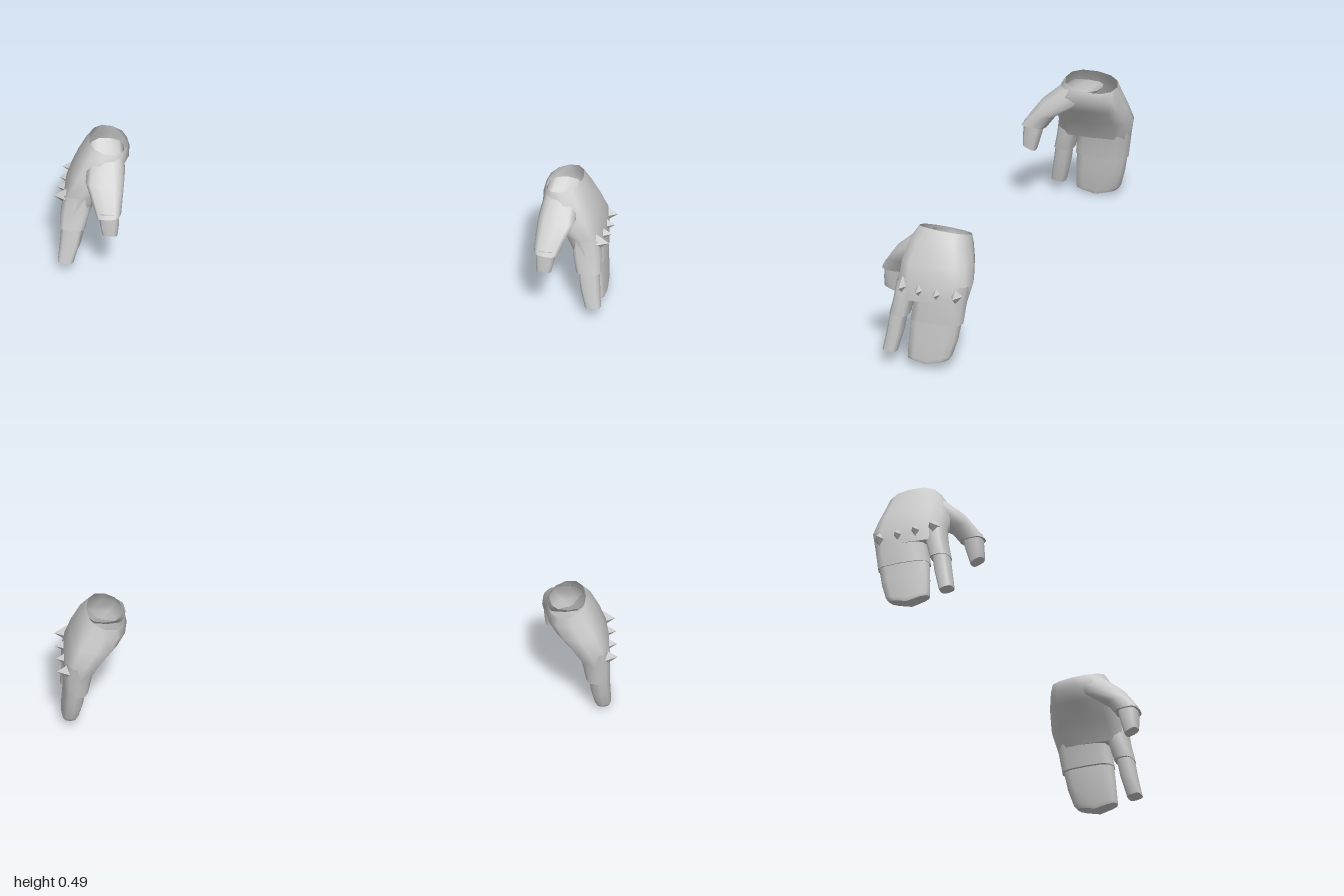
import * as THREE from 'three';

const SIDES = 12;

// One cross-section: height, x and z limits, slopes of y along x and z, roundness, sag in the middle
function ring({ y, x, z, sx = 0, sz = 0, p = 0.65, sag = 0 }, side) {
  const cx = (x[0] + x[1]) / 2, hx = (x[1] - x[0]) / 2;
  const cz = (z[0] + z[1]) / 2, hz = (z[1] - z[0]) / 2;
  const pow = v => Math.sign(v) * Math.abs(v) ** p;
  return Array.from({ length: SIDES }, (_, i) => {
    const a = (i / SIDES) * Math.PI * 2;
    const u = pow(Math.cos(a)), w = pow(Math.sin(a));
    return [side * (cx + u * hx), y + sx * u * hx + sz * w * hz - sag * (1 - Math.abs(w)), cz + w * hz];
  });
}

function makeMesh(name, points, faces, side, flat = false) {
  const geo = new THREE.BufferGeometry();
  geo.setAttribute('position', new THREE.Float32BufferAttribute(points.flat(), 3));
  // The mirrored hand needs its corners in reverse order
  geo.setIndex(faces.flatMap(([a, b, c]) => (side > 0 ? [a, b, c] : [a, c, b])));
  geo.computeVertexNormals();
  const mat = new THREE.MeshStandardMaterial({ color: 0xcccccc, side: THREE.DoubleSide, flatShading: flat });
  const mesh = new THREE.Mesh(geo, mat);
  mesh.name = name;
  return mesh;
}

// Smooth skin through sections from top to bottom, closed by a sharp-edged end
function loft(name, sections, side) {
  const rings = sections.map(s => ring(s, side));
  const points = rings.flat();
  const faces = [];
  for (let r = 0; r < rings.length - 1; r++) {
    for (let i = 0; i < SIDES; i++) {
      const a = r * SIDES + i, b = r * SIDES + (i + 1) % SIDES;
      faces.push([a, b, a + SIDES], [b, b + SIDES, a + SIDES]);
    }
  }
  const last = rings[rings.length - 1];
  const base = points.length;
  const centre = [0, 1, 2].map(k => last.reduce((t, v) => t + v[k], 0) / SIDES);
  points.push(...last, centre);
  for (let i = 0; i < SIDES; i++) faces.push([base + SIDES, base + i, base + (i + 1) % SIDES]);
  return makeMesh(name, points, faces, side);
}

// Four-sided diamond stud on the knuckles
function stud(y, z, side) {
  const b = 0.948, h = 0.034, w = 0.023;
  const points = [[b, y + h, z], [b, y, z + w], [b, y - h, z], [b, y, z - w], [0.994, y, z]]
    .map(([px, py, pz]) => [side * px, py, pz]);
  const faces = [[0, 4, 1], [1, 4, 2], [2, 4, 3], [3, 4, 0]].map(([a, c, d]) => [a, c, d]);
  // Corners run top, front, bottom, back, so the outward order is reversed
  return makeMesh('knuckleStud', points, faces.map(([a, c, d]) => [a, d, c]), side, true);
}

function createGlove(side) {
  const glove = new THREE.Group();
  glove.name = side > 0 ? 'leftGlove' : 'rightGlove';

  // Open wrist, back of the hand and palm
  glove.add(loft('hand', [
    { y: 0.474, x: [0.75, 0.885], z: [-0.158, 0.035], sx: 0.25, sz: 0.09, p: 0.9 },
    { y: 0.435, x: [0.742, 0.912], z: [-0.163, 0.062], sx: 0.15, sz: 0.05, p: 0.75 },
    { y: 0.375, x: [0.772, 0.943], z: [-0.177, 0.083] },
    { y: 0.312, x: [0.825, 0.966], z: [-0.19, 0.085] },
    { y: 0.246, x: [0.862, 0.969], z: [-0.174, 0.092] },
  ], side));

  // Thumb branch of the glove
  glove.add(loft('thumbSleeve', [
    { y: 0.455, x: [0.757, 0.885], z: [-0.1, 0.048], p: 0.8 },
    { y: 0.395, x: [0.742, 0.88], z: [-0.03, 0.119] },
    { y: 0.345, x: [0.739, 0.85], z: [0.06, 0.156] },
    { y: 0.3, x: [0.739, 0.826], z: [0.096, 0.184], sx: -0.1, sz: 0.08 },
  ], side));
  glove.add(loft('thumb', [
    { y: 0.32, x: [0.746, 0.82], z: [0.101, 0.175] },
    { y: 0.26, x: [0.746, 0.812], z: [0.117, 0.178] },
    { y: 0.22, x: [0.75, 0.802], z: [0.131, 0.178], sz: 0.42 },
  ], side));

  // Split lower edge of the glove
  glove.add(loft('indexSleeve', [
    { y: 0.31, x: [0.86, 0.958], z: [0.0, 0.084] },
    { y: 0.246, x: [0.864, 0.968], z: [0.023, 0.092] },
    { y: 0.182, x: [0.878, 0.969], z: [0.039, 0.107], sz: 0.06 },
  ], side));
  glove.add(loft('fingersSleeve', [
    { y: 0.31, x: [0.845, 0.962], z: [-0.187, 0.02] },
    { y: 0.246, x: [0.864, 0.969], z: [-0.174, 0.021] },
    { y: 0.169, x: [0.878, 0.97], z: [-0.163, 0.033], sz: 0.02 },
  ], side));

  // Index finger and the joined remaining fingers
  glove.add(loft('indexFinger', [
    { y: 0.2, x: [0.885, 0.963], z: [0.045, 0.102] },
    { y: 0.12, x: [0.896, 0.967], z: [0.058, 0.115] },
    { y: 0.048, x: [0.915, 0.972], z: [0.078, 0.128], sz: 0.18 },
  ], side));
  glove.add(loft('joinedFingers', [
    { y: 0.2, x: [0.885, 0.964], z: [-0.164, 0.028] },
    { y: 0.11, x: [0.896, 0.97], z: [-0.147, 0.035] },
    { y: 0.045, x: [0.912, 0.974], z: [-0.128, 0.038], sz: -0.06, sag: 0.016 },
    { y: 0.032, x: [0.917, 0.971], z: [-0.114, 0.037], sag: 0.017 },
  ], side));

  // Row of knuckle studs
  for (const [y, z] of [[0.296, 0.056], [0.288, -0.009], [0.281, -0.075], [0.277, -0.145]]) {
    glove.add(stud(y, z, side));
  }
  return glove;
}

export function createModel() {
  const model = new THREE.Group();
  model.name = 'gloves';
  const left = createGlove(1);
  const right = createGlove(-1);
  // The right glove hangs a little lower and further forward
  right.position.set(0, -0.014, 0.014);
  model.add(left, right);
  return model;
}
